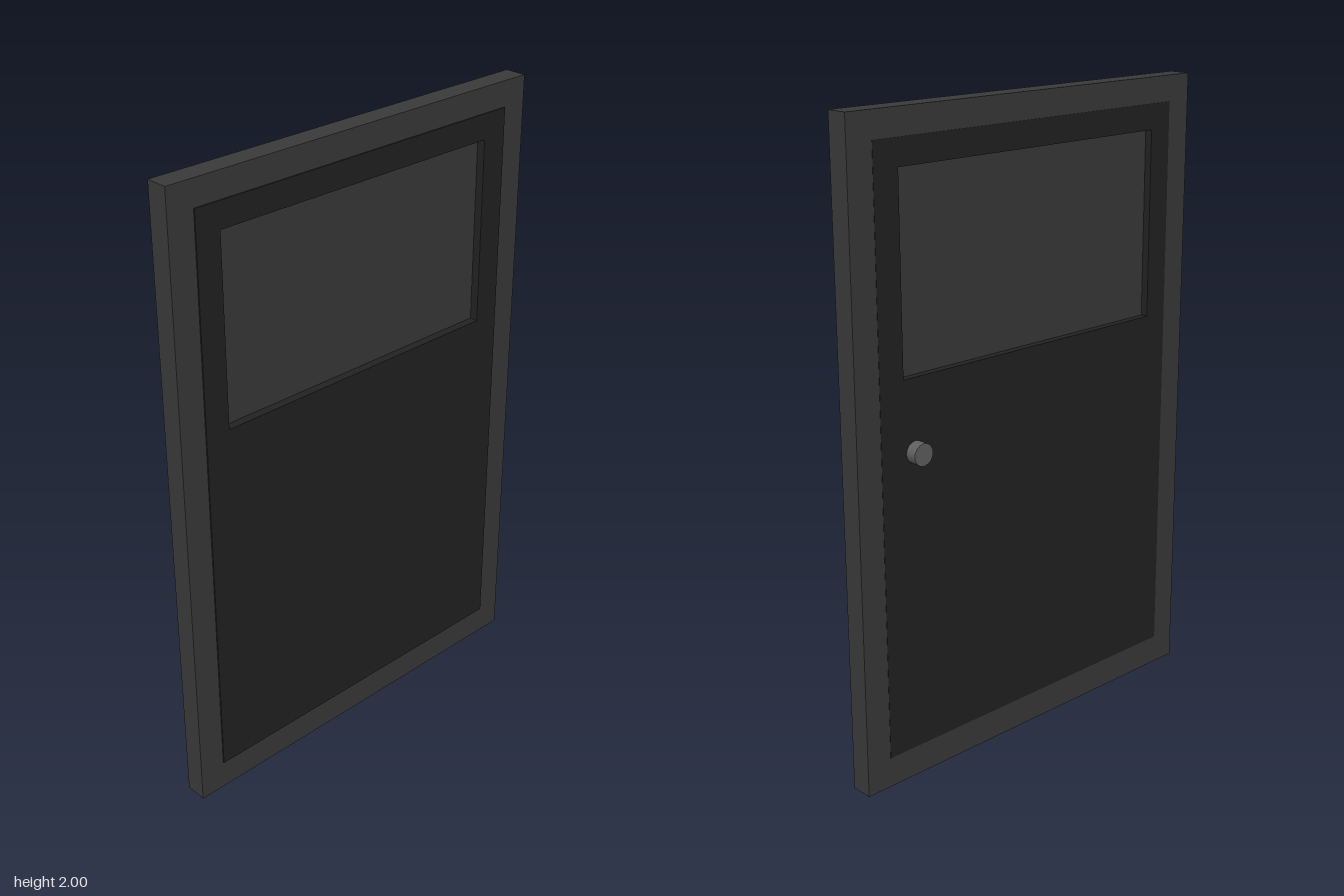
import * as THREE from 'three';

const material = (color) => new THREE.MeshStandardMaterial({ color });

function rectPath(PathType, x0, x1, y0, y1) {
  const p = new PathType();
  p.moveTo(x0, y0);
  p.lineTo(x1, y0);
  p.lineTo(x1, y1);
  p.lineTo(x0, y1);
  p.closePath();
  return p;
}

// Rectangular slab with a rectangular hole, from z = back to z = front
function holedSlab(outer, inner, back, front) {
  const shape = rectPath(THREE.Shape, ...outer);
  shape.holes.push(rectPath(THREE.Path, ...inner));
  const geometry = new THREE.ExtrudeGeometry(shape, { depth: front - back, bevelEnabled: false });
  return geometry.translate(0, 0, back);
}

export function createModel() {
  const model = new THREE.Group();
  const door = new THREE.Group();
  door.name = 'door';
  door.rotation.y = -0.084; // slightly ajar
  model.add(door);

  const add = (name, geometry, color) => {
    const mesh = new THREE.Mesh(geometry, material(color));
    mesh.name = name;
    door.add(mesh);
    return mesh;
  };

  const outline = [-0.67, 0.67, 0, 2];
  const opening = [-0.585, 0.585, 0.095, 1.92];
  const windowHole = [-0.505, 0.5, 1.25, 1.84];

  // Outer border and the darker panel set into it
  add('frame', holedSlab(outline, opening, -0.035, 0.035), 0x3a3a3a);
  add('panel', holedSlab(opening, windowHole, -0.036, 0.039), 0x222222);

  // Pane sunk midway in the window opening
  const [x0, x1, y0, y1] = windowHole;
  const pane = add('windowPane', new THREE.BoxGeometry(x1 - x0, y1 - y0, 0.024), 0x3a3a3a);
  pane.position.set((x0 + x1) / 2, (y0 + y1) / 2, 0);

  // Short round knob on the back
  const knob = add('knob', new THREE.CylinderGeometry(0.034, 0.034, 0.04, 16).rotateX(Math.PI / 2), 0x606060);
  knob.position.set(0.462, 1.03, -0.052);

  return model;
}
